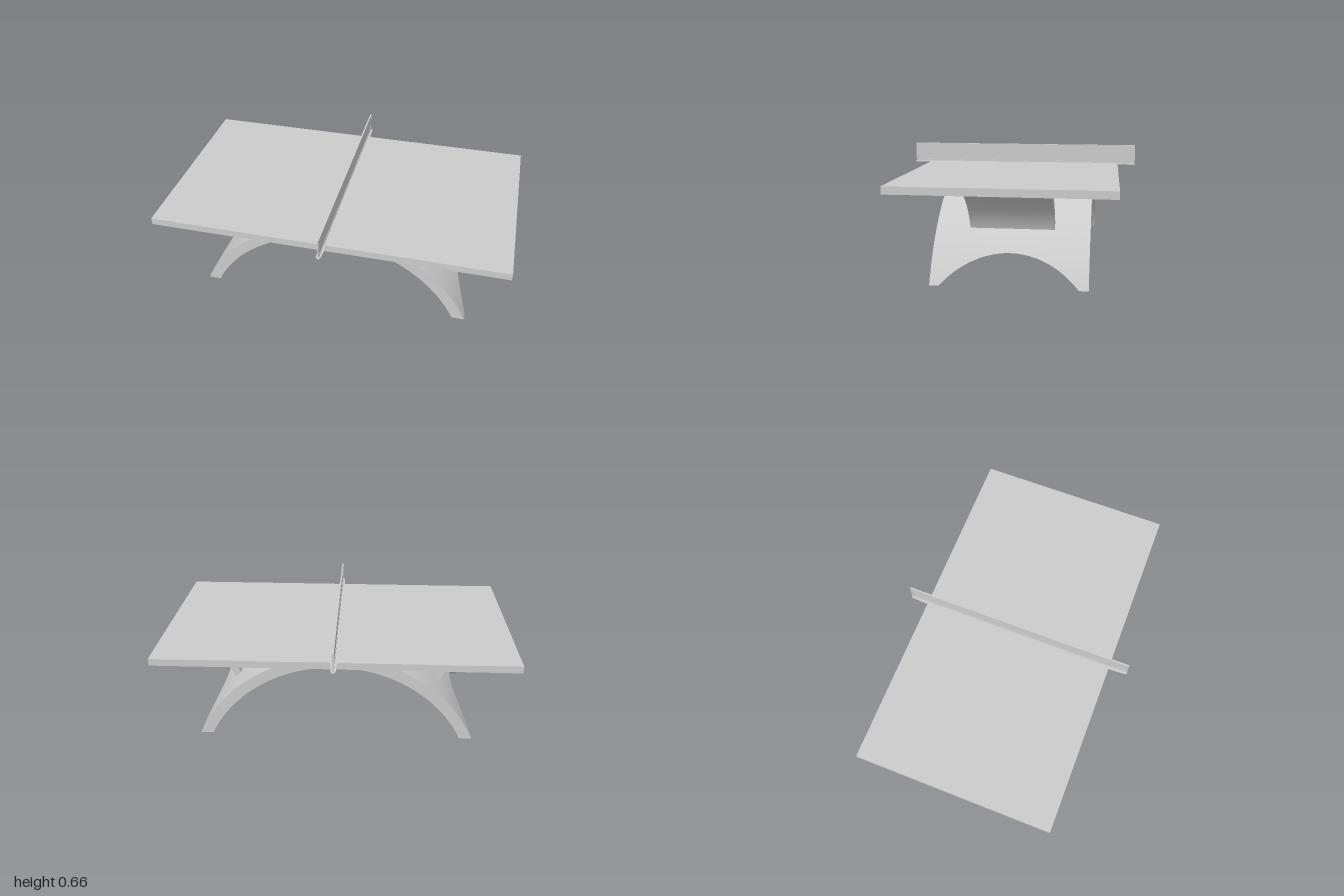
import * as THREE from 'three';
import { ParametricGeometry } from 'three/addons/geometries/ParametricGeometry.js';
import { mergeGeometries, toCreasedNormals } from 'three/addons/utils/BufferGeometryUtils.js';

const material = new THREE.MeshStandardMaterial({ color: 0xcccccc });
const TOP = 0.555, UNDER = 0.515; // tabletop faces
const BASE_Z = -0.015;            // centre of the base in z

function add(parent, name, geometry, x = 0, y = 0, z = 0) {
  const mesh = new THREE.Mesh(geometry, material);
  mesh.name = name;
  mesh.position.set(x, y, z);
  parent.add(mesh);
  return mesh;
}

// Curved base: a bent slab whose two ends are cut out by a circular arc
function archGeometry() {
  const OUT = 0.865, IN = 0.8, CY = -0.35; // bend radii and centre height
  const HALF = 0.415, CUT = 0.367, CUT_R = 0.492, CUT_Y = -0.33;
  const N = 32;

  // Columns across the depth, front to back
  const columns = [HALF];
  for (let i = 0; i <= N; i++) columns.push(CUT * Math.cos(Math.PI * i / N));
  columns.push(-HALF);
  const last = columns.length - 1;
  const zAt = v => {
    const i = Math.min(Math.floor(v * last + 1e-9), last - 1);
    return THREE.MathUtils.lerp(columns[i], columns[i + 1], v * last - i);
  };

  // Point at radius r, t = -1 (left end) to 1 (right end), depth z
  const point = (r, t, z, target) => {
    const foot = Math.abs(z) < CUT ? Math.max(0, CUT_Y + Math.sqrt(CUT_R ** 2 - z * z)) : 0;
    const a = t * Math.acos((foot - CY) / r);
    target.set(r * Math.sin(a), CY + r * Math.cos(a), z);
  };
  const mix = THREE.MathUtils.lerp;
  const faces = [
    new ParametricGeometry((u, v, p) => point(OUT, 2 * u - 1, zAt(v), p), 56, last),
    new ParametricGeometry((u, v, p) => point(IN, 1 - 2 * u, zAt(v), p), 56, last),
    new ParametricGeometry((u, v, p) => point(mix(IN, OUT, v), 2 * u - 1, HALF, p), 56, 1),
    new ParametricGeometry((u, v, p) => point(mix(IN, OUT, v), 1 - 2 * u, -HALF, p), 56, 1),
    new ParametricGeometry((u, v, p) => point(mix(OUT, IN, u), 1, zAt(v), p), 1, last),
    new ParametricGeometry((u, v, p) => point(mix(IN, OUT, u), -1, zAt(v), p), 1, last),
  ];
  return toCreasedNormals(mergeGeometries(faces), 0.5);
}

// Curved brace between the arch and the tabletop, right-hand profile
function braceGeometry() {
  const rad = THREE.MathUtils.degToRad;
  const shape = new THREE.Shape();
  shape.absarc(0.992, 0.116, 0.42, rad(108.2), rad(159.6), false);
  shape.absarc(0.992, 0.116, 0.462, rad(157.6), rad(120.3), true);
  shape.closePath();
  const depth = 0.455;
  const geometry = new THREE.ExtrudeGeometry(shape, { depth, bevelEnabled: false, curveSegments: 20 });
  geometry.translate(0, 0, -depth / 2);
  return toCreasedNormals(geometry, 0.5);
}

// Flat bracket with a rounded tip, lying along +z
function bracketGeometry() {
  const shape = new THREE.Shape();
  shape.moveTo(-0.019, 0);
  shape.lineTo(0.019, 0);
  shape.lineTo(0.014, -0.1);
  shape.absarc(0, -0.1, 0.014, 0, Math.PI, true);
  shape.closePath();
  const geometry = new THREE.ExtrudeGeometry(shape, { depth: 0.006, bevelEnabled: false, curveSegments: 10 });
  return geometry.rotateX(-Math.PI / 2);
}

export function createModel() {
  const model = new THREE.Group();
  model.name = 'tableTennisTable';

  add(model, 'tabletop', new THREE.BoxGeometry(2, TOP - UNDER, 1.14), 0, (TOP + UNDER) / 2, 0);
  add(model, 'archBase', archGeometry(), 0, 0, BASE_Z);

  const brace = braceGeometry();
  add(model, 'leftBrace', brace, 0, 0, BASE_Z + 0.002);
  add(model, 'rightBrace', brace, 0, 0, BASE_Z + 0.002).rotation.y = Math.PI;

  // Net panel in a thin frame
  const net = new THREE.Group();
  net.name = 'net';
  model.add(net);
  const halfNet = 0.673, netTop = 0.664, bar = 0.009;
  const netHeight = netTop - TOP;
  add(net, 'netPanel', new THREE.BoxGeometry(0.004, netHeight - bar, 2 * halfNet - bar), 0, TOP + netHeight / 2, 0);
  for (const y of [TOP + bar / 2, netTop - bar / 2]) {
    add(net, 'netRail', new THREE.BoxGeometry(0.009, bar, 2 * halfNet), 0, y, 0);
  }

  // Posts and brackets at both ends of the net
  const bracket = bracketGeometry();
  for (const side of [1, -1]) {
    add(net, 'netPost', new THREE.BoxGeometry(0.009, netHeight - 2 * bar, bar), 0, TOP + netHeight / 2, side * (halfNet - bar / 2));
    const mesh = add(net, 'netBracket', bracket, 0, TOP - 0.007, side * 0.565);
    if (side < 0) mesh.rotation.y = Math.PI;
  }
  return model;
}
